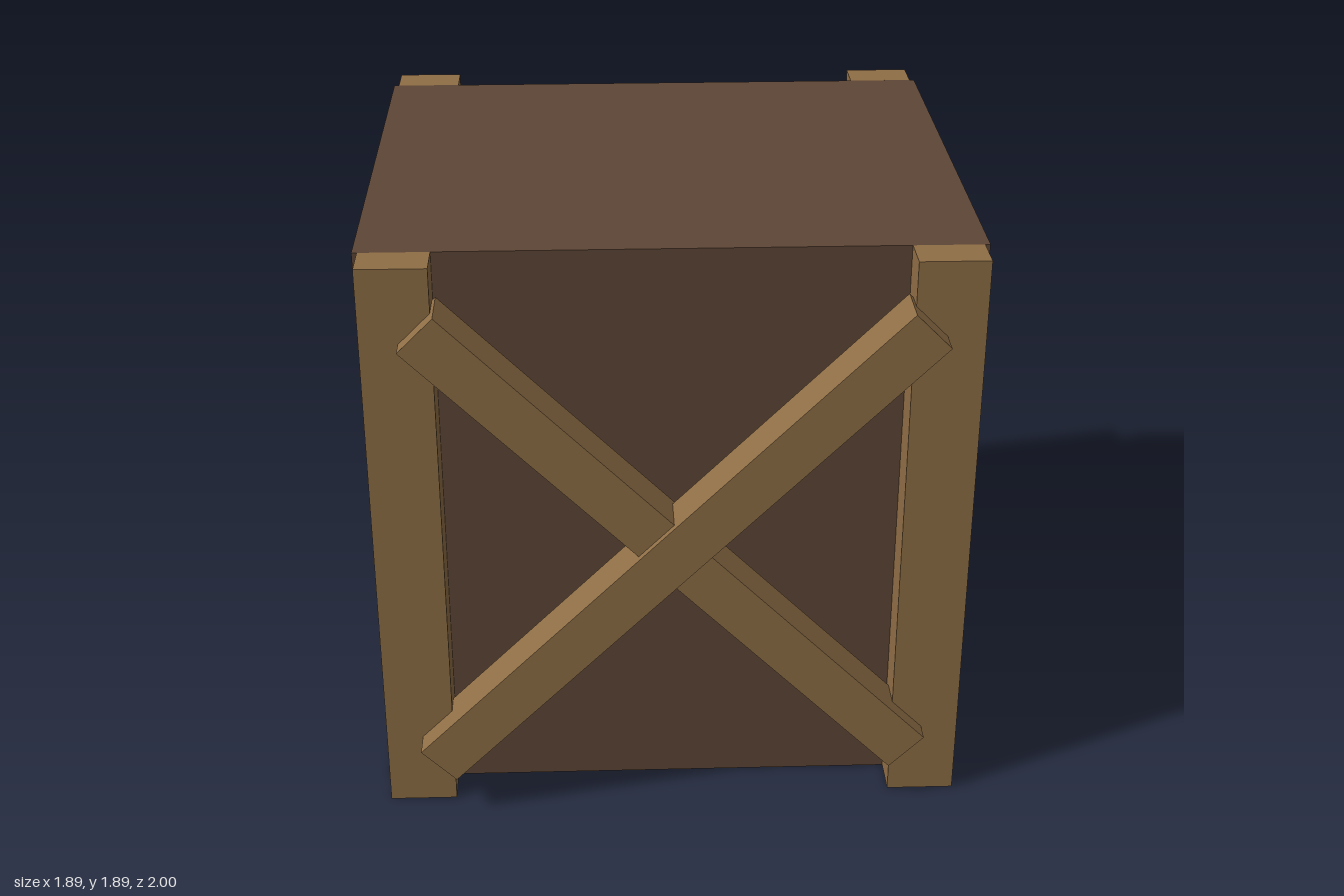
import * as THREE from 'three';

export function createModel() {
  const group = new THREE.Group();
  group.name = 'crate';
  const darkWood = new THREE.MeshStandardMaterial({ name: 'darkWood', color: 0x5e4636 });
  const lightWood = new THREE.MeshStandardMaterial({ name: 'lightWood', color: 0x8f6e46 });

  const addBox = (name, size, position, material, tilt = 0) => {
    const mesh = new THREE.Mesh(new THREE.BoxGeometry(...size), material);
    mesh.name = name;
    mesh.position.set(...position);
    mesh.rotation.z = tilt;
    group.add(mesh);
  };

  const height = 1.89, mid = height / 2;
  const bodyZ = 0.787, postZ = 0.913; // half depths of the body and the posts

  // Main crate body
  addBox('body', [1.887, height, bodyZ * 2], [0, mid, 0], darkWood);

  for (const side of [1, -1]) {
    const end = side > 0 ? 'front' : 'back';

    // Upright corner posts
    for (const x of [0.82, -0.82]) {
      addBox(end + (x > 0 ? 'Left' : 'Right') + 'Post', [0.215, height, postZ - bodyZ],
        [x, mid, side * (bodyZ + postZ) / 2], lightWood);
    }

    // Crossed braces, one slightly proud of the other
    const brace = [2.14, 0.155, 0.157];
    addBox(end + 'OuterBrace', brace, [0, mid + 0.003, side * 0.9215], lightWood, Math.PI / 4);
    addBox(end + 'InnerBrace', brace, [0, mid + 0.003, side * 0.8975], lightWood, -Math.PI / 4);
  }
  return group;
}
